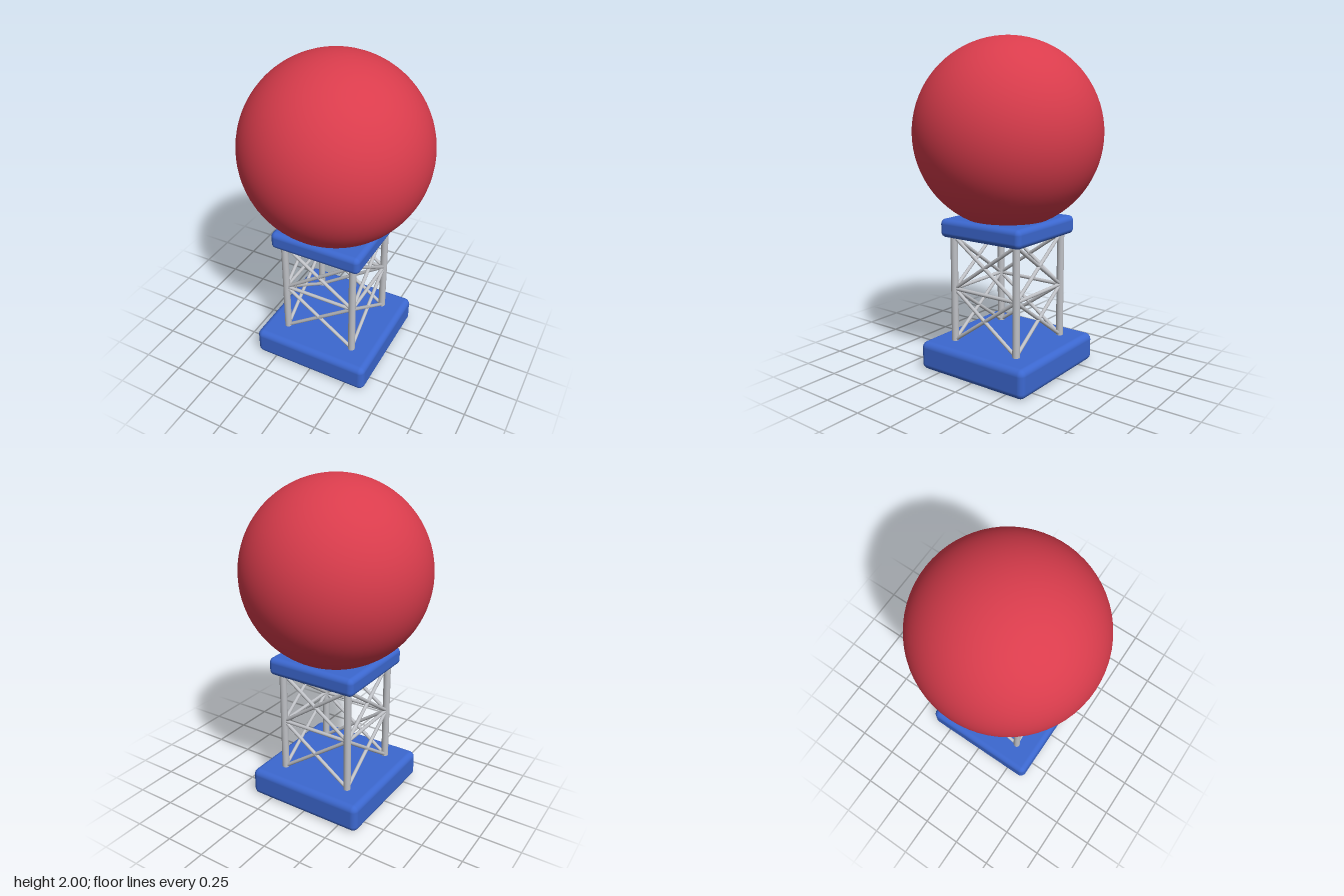
import * as THREE from 'three';
import { RoundedBoxGeometry } from 'three/addons/geometries/RoundedBoxGeometry.js';

const material = (name, color) => {
  const m = new THREE.MeshStandardMaterial({ color });
  m.name = name;
  return m;
};

export function createModel() {
  const red = material('red', 0xd93c4c);
  const blue = material('blue', 0x3c68d0);
  const steel = material('steel', 0xbfc1c6);
  const model = new THREE.Group();
  model.name = 'sphereTower';

  const add = (parent, name, geometry, mat, y = 0) => {
    const mesh = new THREE.Mesh(geometry, mat);
    mesh.name = name;
    mesh.position.y = y;
    parent.add(mesh);
    return mesh;
  };

  // Round bar between two points
  const bar = (parent, name, a, b, radius) => {
    const dir = b.clone().sub(a);
    const mesh = add(parent, name, new THREE.CylinderGeometry(radius, radius, dir.length(), 16), steel);
    mesh.position.copy(a).add(b).multiplyScalar(0.5);
    mesh.quaternion.setFromUnitVectors(new THREE.Vector3(0, 1, 0), dir.normalize());
  };

  // Rounded slabs and the ball
  add(model, 'base', new RoundedBoxGeometry(0.764, 0.175, 0.764, 5, 0.038), blue, 0.0925 - 0.003);
  add(model, 'platform', new RoundedBoxGeometry(0.585, 0.112, 0.585, 5, 0.032), blue, 0.882);
  add(model, 'ball', new THREE.SphereGeometry(0.561, 64, 40), red, 1.439);

  // Lattice tower: four identical sides
  const half = 0.23, low = 0.18, mid = 0.505, high = 0.83;
  const p = (x, y) => new THREE.Vector3(x, y, half);
  for (let i = 0; i < 4; i++) {
    const side = new THREE.Group();
    side.name = 'towerSide';
    side.rotation.y = i * Math.PI / 2;
    model.add(side);
    bar(side, 'leg', p(half, low - 0.02), p(half, high + 0.02), 0.022);
    bar(side, 'crossbar', p(-half, mid), p(half, mid), 0.011);
    for (const [y0, y1] of [[low, mid], [mid, high]]) {
      bar(side, 'brace', p(-half, y0), p(half, y1), 0.011);
      bar(side, 'brace', p(half, y0), p(-half, y1), 0.011);
    }
  }

  // Stand the base on the ground
  model.children[0].position.y = 0.175 / 2 + 0.003;
  model.position.y = -0.003;
  const root = new THREE.Group();
  root.add(model);
  return root;
}
